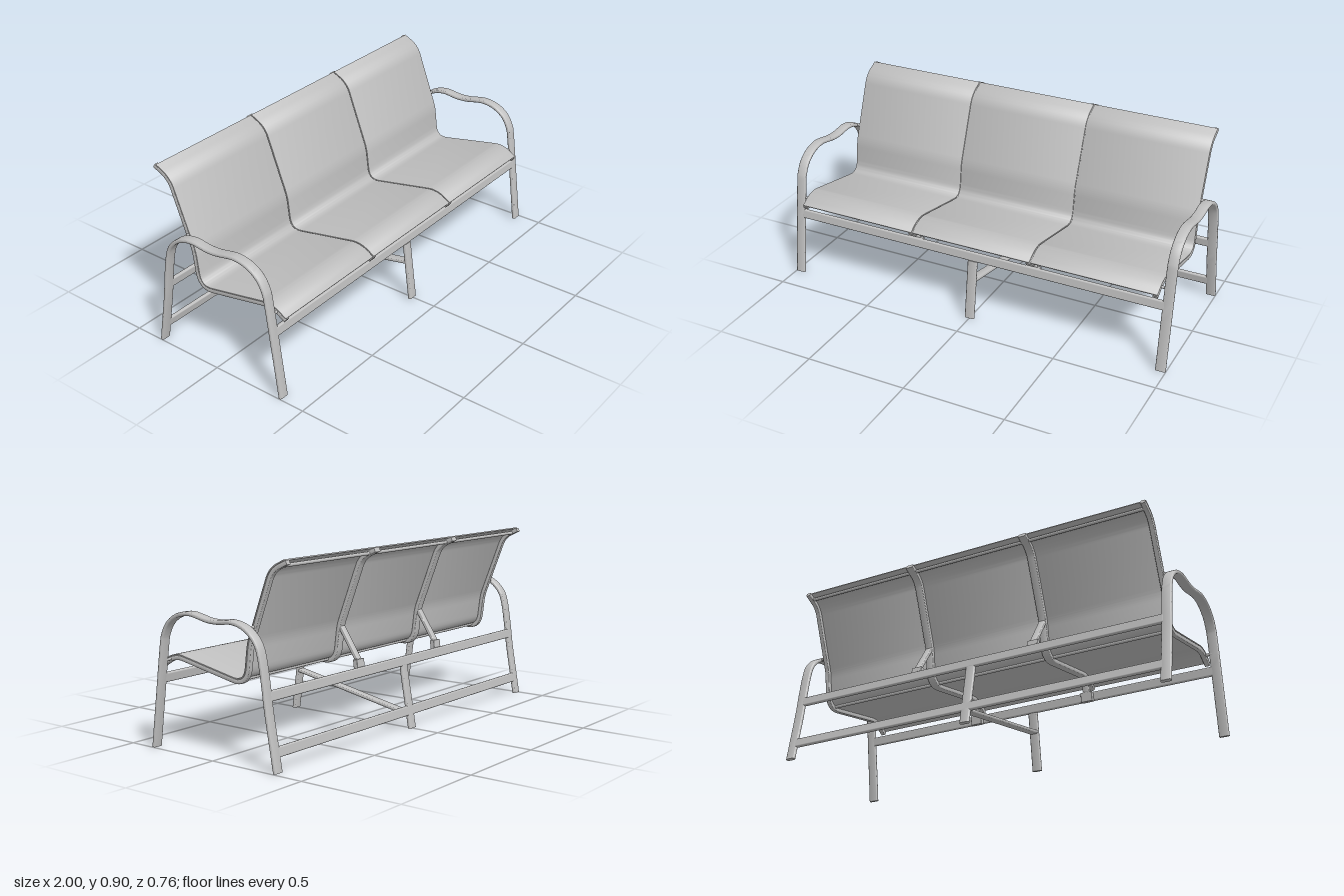
import * as THREE from 'three';
import { toCreasedNormals } from 'three/addons/utils/BufferGeometryUtils.js';
import { RoundedBoxGeometry } from 'three/addons/geometries/RoundedBoxGeometry.js';

const V = (z, y) => new THREE.Vector2(z, y);

// Rounded rectangle section: w across x, h along the path normal, shifted by off
function section(w, h, r, off = 0, n = 5) {
  const pts = [];
  [[1, 1], [-1, 1], [-1, -1], [1, -1]].forEach(([sx, sy], q) => {
    for (let i = 0; i <= n; i++) {
      const a = (q + i / n) * Math.PI / 2;
      pts.push([sx * (w / 2 - r) + Math.cos(a) * r, sy * (h / 2 - r) + Math.sin(a) * r + off]);
    }
  });
  return pts;
}

// Sweep a section along a path in the side plane (z, y)
function sweep(path, sec) {
  const pos = [], idx = [], m = sec.length, last = path.length - 1;
  path.forEach((p, i) => {
    const t = path[Math.min(i + 1, last)].clone().sub(path[Math.max(i - 1, 0)]).normalize();
    sec.forEach(([a, b]) => pos.push(a, p.y - t.x * b, p.x + t.y * b));
  });
  for (let i = 0; i < last; i++) {
    for (let j = 0; j < m; j++) {
      const a = i * m + j, b = i * m + (j + 1) % m;
      idx.push(a, a + m, b, b, a + m, b + m);
    }
  }
  for (let j = 1; j < m - 1; j++) {
    idx.push(0, j, j + 1, last * m, last * m + j + 1, last * m + j);
  }
  const g = new THREE.BufferGeometry();
  g.setAttribute('position', new THREE.Float32BufferAttribute(pos, 3));
  g.setIndex(idx);
  return toCreasedNormals(g, 0.6);
}

// Polyline with softened corners; corners are [z, y, cut]
function roundedPath(start, corners, end) {
  const path = new THREE.Path().moveTo(...start);
  corners.forEach(([z, y, cut], i) => {
    const c = V(z, y);
    const toward = q => c.clone().add(V(q[0], q[1]).sub(c).setLength(cut));
    const a = toward(corners[i - 1] || start), b = toward(corners[i + 1] || end);
    path.lineTo(a.x, a.y).quadraticCurveTo(c.x, c.y, b.x, b.y);
  });
  return path.lineTo(...end).getPoints(12);
}

const smooth = (pts, n) => new THREE.SplineCurve(pts.map(p => V(...p))).getPoints(n);

export function createModel() {
  const root = new THREE.Group();
  const grey = new THREE.MeshStandardMaterial({ color: 0xc0c0c0 });
  grey.name = 'lightGrey';

  function add(name, geo, x = 0, y = 0, z = 0, tilt = 0) {
    const mesh = new THREE.Mesh(geo, grey);
    mesh.name = name;
    mesh.position.set(x, y, z);
    mesh.rotation.x = tilt;
    root.add(mesh);
  }

  // Arched end frames: front leg, arm and rear leg in one bent tube
  const rearLeg = [[-0.289, 0.385], [-0.307, 0.255], [-0.333, 0.11], [-0.352, 0.003]];
  const arch = smooth([[0.37, 0.003], [0.338, 0.24], [0.306, 0.47], [0.292, 0.53], [0.26, 0.582],
    [0.205, 0.618], [0.14, 0.631], [0.085, 0.624], [0.03, 0.613], [-0.02, 0.610], [-0.06, 0.613],
    [-0.105, 0.618], [-0.155, 0.611], [-0.205, 0.588], [-0.248, 0.545], [-0.27, 0.49], ...rearLeg], 110);
  const tube = section(0.05, 0.019, 0.009);
  const archGeo = sweep(arch, tube);

  // Sling rails and fabric share one side profile
  const corners = [[0.285, 0.424, 0.05], [-0.14, 0.342, 0.078], [-0.163, 0.525, 0.03], [-0.287, 0.848, 0.045]];
  const railPath = roundedPath([0.36, 0.377], corners, [-0.372, 0.888]);
  const slingPath = roundedPath([0.357, 0.379], corners, [-0.365, 0.8847]);
  const outerRail = sweep(railPath, section(0.024, 0.021, 0.005, -0.003));
  const middleRail = sweep(railPath, section(0.04, 0.021, 0.005, -0.003));

  const pin = new THREE.CylinderGeometry(0.007, 0.007, 0.04, 12).rotateZ(Math.PI / 2);
  const backBrace = sweep([V(-0.168, 0.522), V(-0.268, 0.372)], section(0.036, 0.016, 0.004));
  const frontBrace = sweep([V(0.292, 0.405), V(0.312, 0.3)], section(0.036, 0.018, 0.004));

  for (const s of [1, -1]) {
    const side = s > 0 ? 'left' : 'right';
    add(side + 'EndFrame', archGeo, s * 0.975);
    add(side + 'OuterRail', outerRail, s * 0.923);
    add(side + 'MiddleRail', middleRail, s * 0.312);

    // Pins holding the sling rails to the end frames
    add(side + 'BackPin', pin, s * 0.945, 0.6, -0.19);
    add(side + 'SeatPin', pin, s * 0.945, 0.405, 0.312);

    // Braces and brackets carrying the middle rails
    add(side + 'BackBrace', backBrace, s * 0.312);
    add(side + 'FrontBrace', frontBrace, s * 0.312);
    add(side + 'BackBracket', new RoundedBoxGeometry(0.055, 0.048, 0.024, 2, 0.003), s * 0.312, 0.354, -0.271, 0.13);
    add(side + 'FrontBracket', new RoundedBoxGeometry(0.06, 0.05, 0.026, 2, 0.003), s * 0.312, 0.316, 0.309, -0.14);
  }

  // Three sling panels with narrow gaps over the middle rails
  const panel = sweep(slingPath, section(0.62, 0.006, 0.002, 0.0105, 2));
  [-0.625, 0, 0.625].forEach((x, i) => add('slingPanel' + (i + 1), panel, x));

  // Spreader bars behind the top and under the seat
  const spreader = new THREE.CylinderGeometry(0.008, 0.008, 1.84, 14).rotateZ(Math.PI / 2);
  add('topSpreader', spreader, 0, 0.868, -0.34);
  add('seatSpreader', spreader, 0, 0.36, -0.1);

  // Long rails joining the end frames
  const beam = new RoundedBoxGeometry(1.93, 0.046, 0.019, 3, 0.007);
  add('frontRail', beam, 0, 0.322, 0.327, -0.14);
  add('rearUpperRail', beam, 0, 0.322, -0.298, 0.13);
  add('rearLowerRail', beam, 0, 0.088, -0.337, 0.17);

  // Centre legs and the sloping stretcher between them
  add('frontCentreLeg', sweep([V(0.37, 0.003), V(0.33, 0.3)], tube));
  add('rearCentreLeg', sweep(smooth([[-0.299, 0.31], ...rearLeg.slice(1)], 20), tube));
  add('centreStretcher', sweep([V(0.342, 0.2), V(-0.335, 0.07)], section(0.045, 0.018, 0.008)));

  return root;
}
